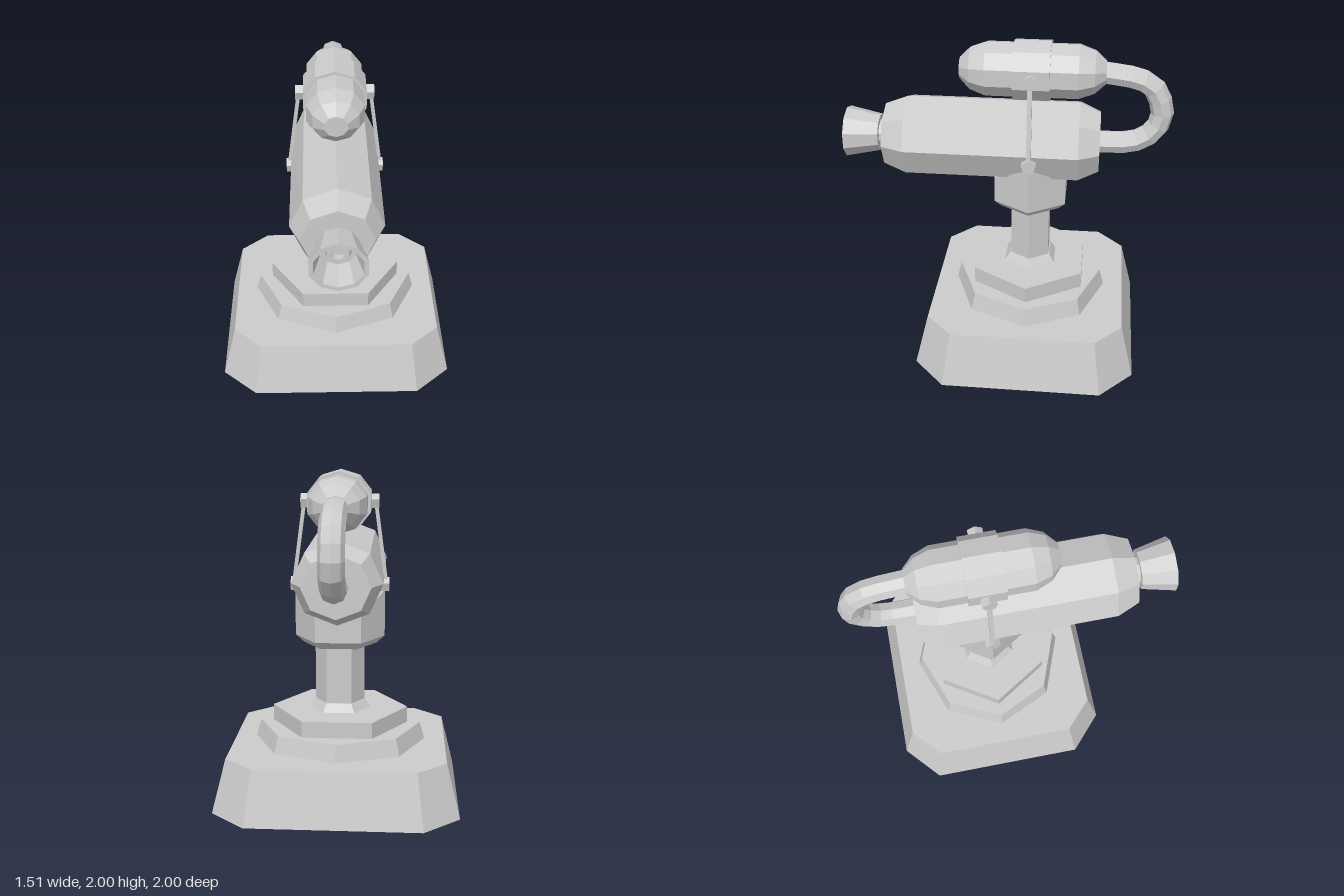
import * as THREE from 'three';
import { ConvexGeometry } from 'three/addons/geometries/ConvexGeometry.js';

const grey = new THREE.MeshStandardMaterial({ color: 0xcccccc, flatShading: true, side: THREE.DoubleSide });

function add(parent, name, geometry, y = 0) {
  const mesh = new THREE.Mesh(geometry, grey);
  mesh.name = name;
  mesh.position.y = y;
  parent.add(mesh);
  return mesh;
}

// Upright tapered prism with corners on the x axis, slightly flattened in z
function prism(sides, bottomR, topR, y0, y1, depth) {
  return new THREE.CylinderGeometry(topR, bottomR, y1 - y0, sides)
    .rotateY(Math.PI / 2).scale(1, 1, depth).translate(0, (y0 + y1) / 2, 0);
}

// Body turned round the z axis; profile is [radius, z] from back to front
function turned(profile, sides) {
  return new THREE.LatheGeometry(profile.map(([r, z]) => new THREE.Vector2(r, z)), sides)
    .rotateX(Math.PI / 2).scale(1.08, 1, 1);
}

// Corners of a rectangle with cut corners
function cutRectangle(x, z, cutX, cutZ, y) {
  const points = [];
  for (const sx of [-1, 1]) for (const sz of [-1, 1]) {
    points.push(new THREE.Vector3(sx * x, y, sz * cutZ), new THREE.Vector3(sx * cutX, y, sz * z));
  }
  return points;
}

function buildStand(model) {
  const stand = new THREE.Group();
  stand.name = 'stand';
  model.add(stand);
  add(stand, 'basePlinth', new ConvexGeometry([
    ...cutRectangle(0.737, 0.685, 0.52, 0.485, 0),
    ...cutRectangle(0.655, 0.605, 0.48, 0.44, 0.33),
  ]));
  add(stand, 'lowerStep', prism(8, 0.53, 0.5, 0.33, 0.435, 0.91));
  add(stand, 'upperStep', prism(6, 0.42, 0.42, 0.43, 0.535, 0.93));
  add(stand, 'columnFoot', prism(6, 0.195, 0.152, 0.53, 0.585, 0.95));
  add(stand, 'column', prism(6, 0.152, 0.152, 0.58, 0.96, 0.9));
  add(stand, 'cradleUnderside', prism(6, 0.225, 0.275, 0.945, 0.99, 0.92));

  // Cradle: side corners rise to hold the barrel
  const cradle = prism(6, 0.275, 0.275, 0.99, 1.15, 0.92);
  const p = cradle.attributes.position;
  for (let i = 0; i < p.count; i++) {
    if (p.getY(i) > 1.1 && Math.abs(p.getX(i)) > 0.2) p.setY(i, 1.28);
  }
  add(stand, 'cradle', cradle);
}

function buildGun(model) {
  const gun = new THREE.Group();
  gun.name = 'gun';
  model.add(gun);
  const barrelY = 1.365, tankY = 1.815;

  add(gun, 'barrel', turned([[0, -0.415], [0.19, -0.415], [0.25, -0.29], [0.25, 0.76], [0.195, 0.9], [0, 0.9]], 8), barrelY);
  add(gun, 'nozzleNeck', turned([[0.082, 0.89], [0.082, 0.95]], 10), barrelY);
  // Flared, hollow nozzle with a small outlet inside
  add(gun, 'nozzle', turned([[0.08, 0.94], [0.113, 0.94], [0.156, 1.147], [0.132, 1.147],
    [0.095, 0.99], [0.07, 0.99], [0.06, 1.02], [0.04, 1.02], [0.04, 0.98], [0, 0.98]], 10), barrelY);

  add(gun, 'tank', turned([[0, -0.435], [0.07, -0.435], [0.13, -0.37], [0.165, -0.275],
    [0.165, 0.275], [0.13, 0.37], [0.065, 0.435], [0, 0.435]], 10), tankY);
  add(gun, 'tankBand', turned([[0.16, -0.11], [0.183, -0.11], [0.183, 0.11], [0.16, 0.11]], 10), tankY);

  // Hose from the tank round to the back of the barrel
  const path = [[1.815, -0.41], [1.785, -0.615], [1.735, -0.715], [1.57, -0.778],
    [1.46, -0.74], [1.395, -0.66], [1.37, -0.58], [1.365, -0.39]]
    .map(([y, z]) => new THREE.Vector3(0, y, z));
  add(gun, 'hose', new THREE.TubeGeometry(new THREE.CatmullRomCurve3(path), 12, 0.069, 8).scale(1.08, 1, 1));

  // Strut and its two bolts on each side
  for (const side of [-1, 1]) {
    const bolt = (name, x0, x1, y) => {
      const g = new THREE.CylinderGeometry(0.046, 0.046, x1 - x0, 5, 1, false, Math.PI)
        .rotateX(Math.PI / 2).rotateY(Math.PI / 2);
      add(gun, name, g, y).position.x = side * (x0 + x1) / 2;
    };
    bolt('upperBolt', 0.18, 0.236, tankY);
    bolt('lowerBolt', 0.25, 0.3, 1.31);
    const top = new THREE.Vector3(side * 0.215, tankY, 0);
    const bottom = new THREE.Vector3(side * 0.283, 1.31, 0);
    const strut = add(gun, 'strut', new THREE.BoxGeometry(0.022, top.distanceTo(bottom), 0.028));
    strut.position.copy(top).lerp(bottom, 0.5);
    strut.quaternion.setFromUnitVectors(new THREE.Vector3(0, 1, 0), top.clone().sub(bottom).normalize());
  }
}

export function createModel() {
  const root = new THREE.Group();
  root.name = 'mountedGun';
  const model = new THREE.Group();
  model.name = 'turnedModel';
  model.position.z = -0.15;
  model.rotation.y = -0.035;
  root.add(model);
  buildStand(model);
  buildGun(model);
  return root;
}
